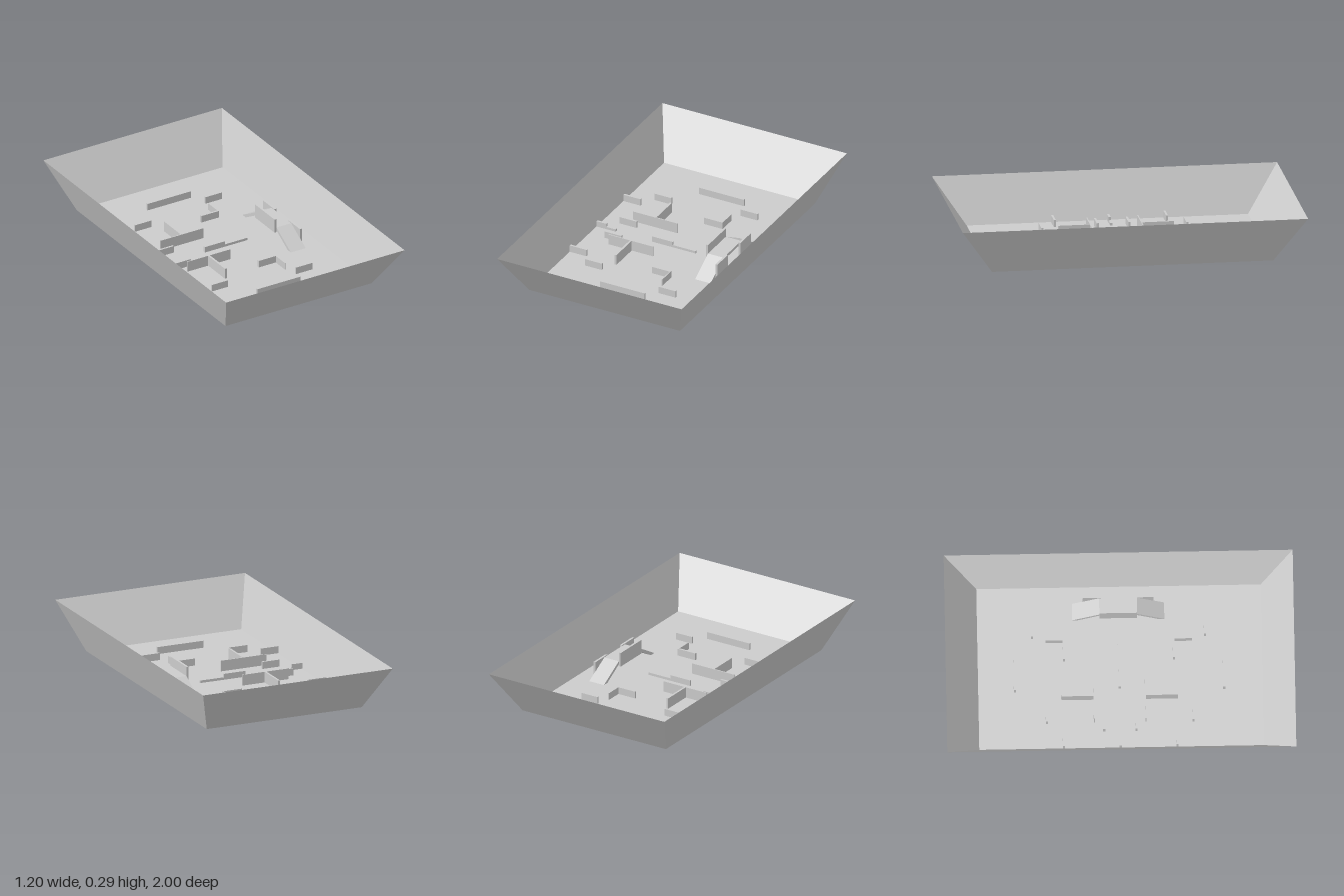
import * as THREE from 'three';

const FLOOR = 0.025;
const grey = new THREE.MeshStandardMaterial({ color: 0xcccccc, flatShading: true, side: THREE.DoubleSide });

export function createModel() {
  const root = new THREE.Group();
  const add = (name, geometry, parent = root) => {
    const mesh = new THREE.Mesh(geometry, grey);
    mesh.name = name;
    parent.add(mesh);
    return mesh;
  };
  // Box given by its extents on each axis
  const block = (name, x0, x1, y0, y1, z0, z1, parent = root) => {
    const mesh = add(name, new THREE.BoxGeometry(x1 - x0, y1 - y0, z1 - z0), parent);
    mesh.position.set((x0 + x1) / 2, (y0 + y1) / 2, (z0 + z1) / 2);
    return mesh;
  };

  // Open tray: floor plus four sloping sides
  const floor = add('trayFloor', new THREE.PlaneGeometry(0.98, 1.63).rotateX(-Math.PI / 2));
  floor.position.y = FLOOR;
  const bottom = [[-0.49, 0.815], [0.49, 0.815], [0.49, -0.815], [-0.49, -0.815]];
  const rim = [[-0.6, 1], [0.6, 1], [0.6, -1], [-0.6, -1]];
  ['front', 'left', 'back', 'right'].forEach((side, i) => {
    const j = (i + 1) % 4;
    const at = ([x, z], y) => [x, y, z];
    const a = at(bottom[i], FLOOR), b = at(bottom[j], FLOOR);
    const c = at(rim[j], 0.295), d = at(rim[i], 0.295);
    const g = new THREE.BufferGeometry();
    g.setAttribute('position', new THREE.Float32BufferAttribute([...a, ...b, ...c, ...a, ...c, ...d], 3));
    g.computeVertexNormals();
    add(side + 'Side', g);
  });

  // Obstacles standing on the floor, mirrored front to back
  const course = new THREE.Group();
  course.name = 'obstacleCourse';
  course.position.z = -0.005;
  root.add(course);
  const low = FLOOR + 0.042, tall = FLOOR + 0.064;
  const barriers = [
    // x0, x1, z, name
    [-0.145, 0.145, 0.6, 'longBarrier'],
    [0.18, 0.29, 0.495, 'shortBarrier'],
    [-0.34, -0.23, 0.42, 'shortBarrier'],
    [-0.49, -0.38, 0.325, 'edgeBarrier'],
    [0.04, 0.16, 0.315, 'cornerBarrier'],
    [-0.39, -0.28, 0.092, 'shortBarrier'],
  ];
  for (const s of [-1, 1]) {
    for (const [x0, x1, z, name] of barriers)
      block(name, x0, x1, FLOOR, low, s * z - 0.006, s * z + 0.006, course);
    const along = (name, x, w, h, z0, z1) =>
      block(name, x - w, x + w, FLOOR, h, Math.min(s * z0, s * z1), Math.max(s * z0, s * z1), course);
    along('cornerReturn', 0.157, 0.003, low, 0.321, 0.42);
    block('crossWall', -0.335, -0.045, FLOOR, tall, s * 0.148 - 0.003, s * 0.148 + 0.003, course);
    along('stemWall', -0.19, 0.006, tall, 0.15, 0.335);
  }

  // Stepped bars on the centre line
  block('centreBarHigh', -0.13, 0.005, FLOOR, FLOOR + 0.035, -0.0055, 0.0075, course);
  block('centreBarLow', 0.005, 0.155, FLOOR, FLOOR + 0.015, -0.0055, 0.0075, course);
  block('edgeBarHigh', -0.49, -0.425, FLOOR, FLOOR + 0.035, -0.0055, 0.0075, course);
  block('edgeBarLow', -0.425, -0.365, FLOOR, FLOOR + 0.015, -0.0055, 0.0075, course);

  // Bridge: platform and two ramps as one folded slab
  const profile = new THREE.Shape();
  [[-0.28, 0.016], [-0.108, 0.115], [0.108, 0.115], [0.28, 0.016],
    [0.271, 0], [0.104, 0.098], [-0.104, 0.098], [-0.271, 0]]
    .forEach(([z, y], i) => (i ? profile.lineTo(z, y) : profile.moveTo(z, y)));
  const bridge = add('bridge',
    new THREE.ExtrudeGeometry(profile, { depth: 0.1, bevelEnabled: false }).rotateY(-Math.PI / 2), course);
  bridge.position.x = 0.39;
  block('bridgeInnerRail', 0.277, 0.29, 0.085, 0.17, -0.108, 0.108, course);
  for (const s of [-1, 1])
    block('bridgeOuterSupport', 0.389, 0.402, FLOOR, 0.12, s * 0.14 - 0.063, s * 0.14 + 0.063, course);

  return root;
}
